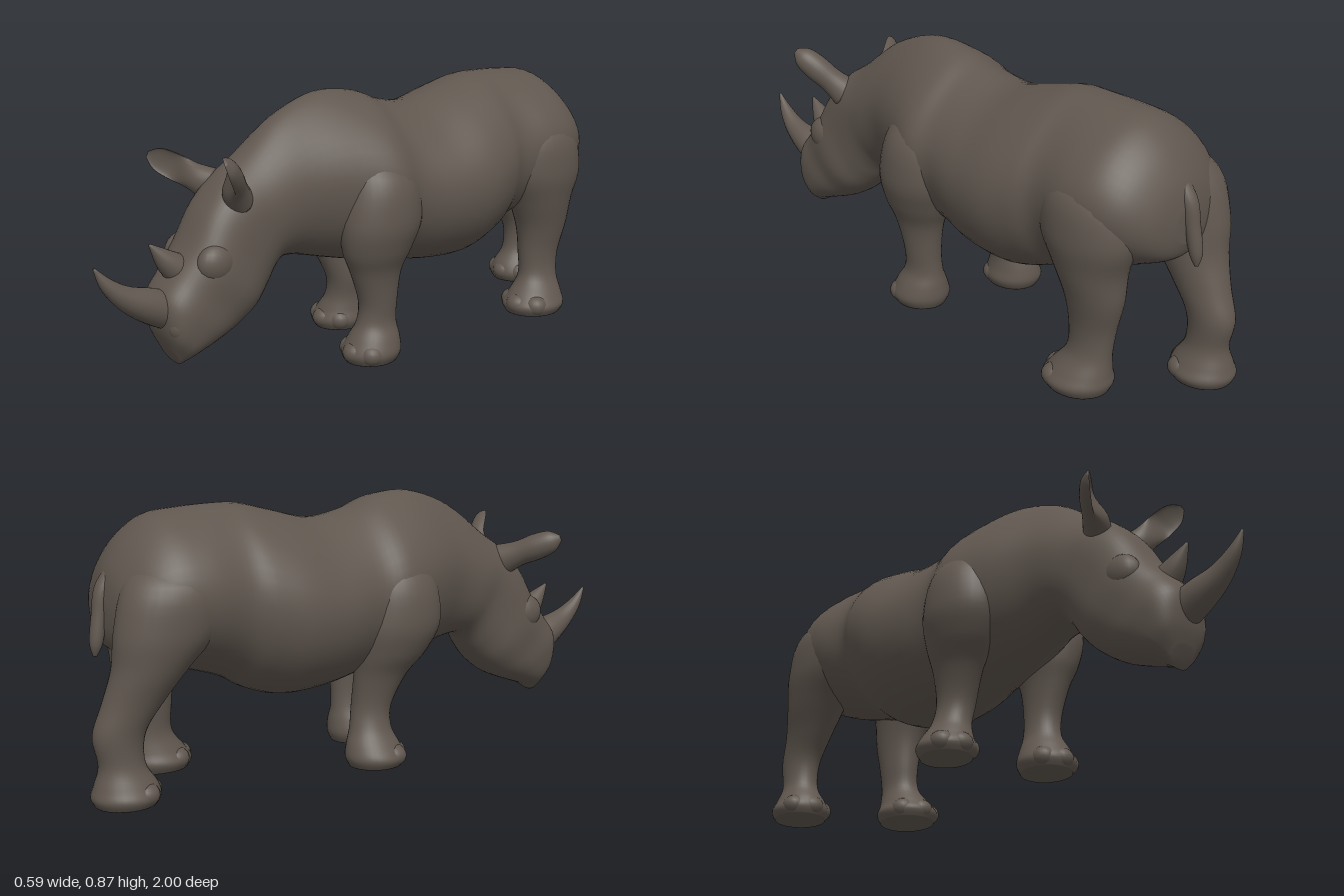
import * as THREE from 'three';

const hide = new THREE.MeshStandardMaterial({ color: 0x60574f });
hide.name = 'hide';

// Smooth skin through rings [centre xyz, side radius xyz, up radius xyz], Catmull-Rom between rings.
function loft(name, rings, shape = (c, s) => [c, s], seg = 32, sub = 5) {
  const mid = rings.length >> 1;
  const vec = (r, k) => new THREE.Vector3(r[k], r[k + 1], r[k + 2]);
  const along = vec(rings[mid], 0).sub(vec(rings[mid - 1], 0));
  const flip = vec(rings[mid], 3).cross(vec(rings[mid], 6)).dot(along) < 0 ? -1 : 1;
  const at = (i) => rings[Math.min(rings.length - 1, Math.max(0, i))];
  const fine = [];
  for (let i = 0; i < rings.length - 1; i++) {
    for (let k = 0; k < sub; k++) {
      const t = k / sub;
      fine.push(rings[i].map((b, n) => {
        const a = at(i - 1)[n], c = at(i + 1)[n], d = at(i + 2)[n];
        return 0.5 * (2 * b + (c - a) * t + (2 * a - 5 * b + 4 * c - d) * t * t + (3 * b - a - 3 * c + d) * t ** 3);
      }));
    }
  }
  fine.push(rings[rings.length - 1]);
  const pos = [], index = [];
  fine.forEach((r, i) => {
    for (let j = 0; j < seg; j++) {
      const a = (j / seg) * Math.PI * 2;
      const [c, s] = shape(Math.cos(a), Math.sin(a), i / (fine.length - 1));
      for (let n = 0; n < 3; n++) pos.push(r[n] + r[3 + n] * c * flip + r[6 + n] * s);
      if (i < fine.length - 1) {
        const p = i * seg + j, q = i * seg + ((j + 1) % seg);
        index.push(p, q, p + seg, q, q + seg, p + seg);
      }
    }
  });
  // Close both ends
  const last = (fine.length - 1) * seg, hub = pos.length / 3;
  pos.push(...fine[0].slice(0, 3), ...fine[fine.length - 1].slice(0, 3));
  for (let j = 0; j < seg; j++) {
    const k = (j + 1) % seg;
    index.push(hub, k, j, hub + 1, last + j, last + k);
  }
  const geo = new THREE.BufferGeometry();
  geo.setAttribute('position', new THREE.Float32BufferAttribute(pos, 3));
  geo.setIndex(index);
  geo.computeVertexNormals();
  const mesh = new THREE.Mesh(geo, hide);
  mesh.name = name;
  return mesh;
}

// Ring from its top and bottom points: [topZ, topY, bottomZ, bottomY, halfWidth, centreX]
const trunkRing = ([tz, ty, bz, by, w, x]) =>
  [x, (ty + by) / 2, (tz + bz) / 2, w, 0, 0, 0, (ty - by) / 2, (tz - bz) / 2];

// Level ring: [y, x, z, radiusX, radiusZ]
const legRing = ([y, x, z, rx, rz]) => [x, y, z, rx, 0, 0, 0, 0, rz];

// Tapered round sweep in a plane of near-constant x: points [x, y, z, radius]
function taper(name, pts) {
  return loft(name, pts.map(([x, y, z, r], i) => {
    const a = pts[Math.max(0, i - 1)], b = pts[Math.min(pts.length - 1, i + 1)];
    const dy = b[1] - a[1], dz = b[2] - a[2], l = Math.hypot(dy, dz);
    return [x, y, z, r, 0, 0, 0, (r * dz) / l, (-r * dy) / l];
  }), undefined, 20);
}

function blob(name, x, y, z, sx, sy, sz) {
  const m = new THREE.Mesh(new THREE.SphereGeometry(1, 20, 14), hide);
  m.name = name;
  m.position.set(x, y, z);
  m.scale.set(sx, sy, sz);
  return m;
}

// Cupped ear from base to tip, hollow side facing forward
function ear(name, base, tip) {
  const a = new THREE.Vector3(...base), b = new THREE.Vector3(...tip);
  const t = b.clone().sub(a).normalize();
  const front = new THREE.Vector3(0, 0.25, 1).addScaledVector(t, -t.dot(new THREE.Vector3(0, 0.25, 1))).normalize();
  const side = new THREE.Vector3().crossVectors(t, front);
  const rings = [[0, 0.055, 0.045], [0.3, 0.043, 0.04], [0.6, 0.044, 0.04], [0.85, 0.036, 0.03], [1, 0.01, 0.008]];
  return loft(name, rings.map(([k, w, d]) => [
    ...a.clone().lerp(b, k).toArray(), ...side.clone().multiplyScalar(w).toArray(), ...front.clone().multiplyScalar(d).toArray(),
  ]), (c, s, k) => [c, s > 0 ? s * (1 - 1.3 * THREE.MathUtils.smoothstep(k, 0.15, 0.55)) : s], 24);
}

export function createModel() {
  const model = new THREE.Group();
  model.name = 'rhinoceros';

  // Head, neck and trunk in one skin, muzzle to rump
  const trunk = [
    [0.772, 0.175, 0.735, 0.115, 0.04, 0.035], [0.795, 0.24, 0.69, 0.143, 0.092, 0.032],
    [0.80, 0.33, 0.60, 0.175, 0.114, 0.027], [0.75, 0.40, 0.53, 0.205, 0.12, 0.022],
    [0.69, 0.475, 0.47, 0.25, 0.132, 0.02], [0.63, 0.575, 0.425, 0.30, 0.128, 0.015],
    [0.555, 0.655, 0.39, 0.35, 0.13, 0.012], [0.47, 0.712, 0.35, 0.372, 0.142, 0.005],
    [0.33, 0.815, 0.27, 0.36, 0.162, 0], [0.17, 0.87, 0.16, 0.33, 0.215, -0.005],
    [0.03, 0.86, 0.03, 0.30, 0.262, 0], [-0.07, 0.823, -0.07, 0.285, 0.252, 0],
    [-0.20, 0.803, -0.20, 0.26, 0.28, 0], [-0.34, 0.835, -0.34, 0.253, 0.296, 0],
    [-0.45, 0.862, -0.45, 0.285, 0.277, 0], [-0.53, 0.866, -0.53, 0.33, 0.25, 0],
    [-0.65, 0.86, -0.65, 0.37, 0.265, 0], [-0.75, 0.845, -0.75, 0.40, 0.255, 0],
    [-0.83, 0.785, -0.83, 0.43, 0.215, 0], [-0.885, 0.70, -0.885, 0.46, 0.14, 0],
    [-0.905, 0.62, -0.905, 0.51, 0.05, 0],
  ];
  // Boxy head; the back narrows to a ridge, most of all at the shoulder hump
  model.add(loft('body', trunk.map(trunkRing), (c, s, k) => {
    const back = THREE.MathUtils.smoothstep(k, 0.25, 0.42);
    const ridge = back * (0.2 + 0.2 * Math.exp(-(((k - 0.45) / 0.08) ** 2)));
    const round = (v) => Math.sign(v) * Math.abs(v) ** (0.78 + 0.22 * back);
    return [round(c) * (1 - ridge * Math.max(0, s) ** 2), round(s)];
  }, 48));

  // Horns
  model.add(taper('frontHorn', [[0.035, 0.27, 0.72, 0.06], [0.04, 0.318, 0.825, 0.053],
    [0.045, 0.36, 0.905, 0.036], [0.043, 0.41, 0.96, 0.021], [0.04, 0.463, 0.995, 0.004]]));
  model.add(taper('rearHorn', [[0.03, 0.37, 0.67, 0.06], [0.03, 0.435, 0.75, 0.036], [0.027, 0.495, 0.805, 0.004]]));

  // Ears, brows and nostril swellings
  model.add(ear('leftEar', [0.085, 0.60, 0.53], [0.2, 0.748, 0.655]));
  model.add(ear('rightEar', [-0.06, 0.615, 0.53], [-0.222, 0.7, 0.655]));
  for (const s of [-1, 1]) {
    model.add(blob('brow', 0.02 + s * 0.09, 0.425, 0.63, 0.043, 0.06, 0.065));
    model.add(blob('nostril', 0.038 + s * 0.055, 0.25, 0.75, 0.035, 0.045, 0.04));
  }

  // Legs in mid stride, each from the shoulder or hip down to the sole
  const legs = {
    leftFrontLeg: [[0.74, 0.08, 0.05, 0.05, 0.06], [0.62, 0.155, 0.045, 0.105, 0.12], [0.48, 0.175, 0.05, 0.11, 0.145],
      [0.38, 0.17, 0.06, 0.092, 0.125], [0.30, 0.163, 0.06, 0.067, 0.092], [0.20, 0.16, 0.05, 0.056, 0.068],
      [0.13, 0.155, 0.052, 0.058, 0.07], [0.08, 0.155, 0.062, 0.08, 0.088], [0.035, 0.153, 0.072, 0.095, 0.1],
      [0.003, 0.153, 0.072, 0.08, 0.087]],
    rightFrontLeg: [[0.74, -0.08, 0.04, 0.05, 0.06], [0.62, -0.155, 0.035, 0.105, 0.12], [0.48, -0.175, 0.03, 0.11, 0.145],
      [0.38, -0.165, 0.01, 0.092, 0.125], [0.30, -0.145, -0.02, 0.07, 0.092], [0.20, -0.13, -0.045, 0.06, 0.068],
      [0.13, -0.14, -0.055, 0.062, 0.07], [0.08, -0.155, -0.055, 0.08, 0.088], [0.04, -0.163, -0.05, 0.095, 0.1],
      [0.01, -0.163, -0.05, 0.08, 0.087]],
    leftHindLeg: [[0.76, 0.08, -0.66, 0.06, 0.08], [0.66, 0.14, -0.67, 0.12, 0.15], [0.53, 0.165, -0.68, 0.115, 0.165],
      [0.42, 0.165, -0.69, 0.095, 0.125], [0.32, 0.16, -0.705, 0.075, 0.1], [0.22, 0.155, -0.70, 0.06, 0.08],
      [0.14, 0.16, -0.695, 0.06, 0.076], [0.08, 0.17, -0.675, 0.086, 0.1], [0.045, 0.172, -0.665, 0.104, 0.113],
      [0.015, 0.172, -0.665, 0.09, 0.1]],
    rightHindLeg: [[0.76, -0.08, -0.70, 0.06, 0.08], [0.66, -0.135, -0.72, 0.12, 0.16], [0.53, -0.15, -0.755, 0.115, 0.165],
      [0.42, -0.145, -0.81, 0.095, 0.12], [0.32, -0.135, -0.865, 0.072, 0.095], [0.23, -0.13, -0.91, 0.06, 0.08],
      [0.14, -0.13, -0.905, 0.058, 0.07], [0.08, -0.13, -0.895, 0.082, 0.095], [0.045, -0.13, -0.895, 0.098, 0.104],
      [0.018, -0.13, -0.895, 0.085, 0.092]],
  };
  for (const [name, rings] of Object.entries(legs)) {
    const leg = new THREE.Group();
    leg.name = name;
    leg.add(loft('limb', rings.map(legRing)));
    // Three blunt toes round the front of the foot
    const [y, x, z, rx, rz] = rings[rings.length - 1];
    for (const a of [-0.95, 0, 0.95]) {
      leg.add(blob('toe', x + Math.sin(a) * rx * 0.75, y + 0.034, z + Math.cos(a) * rz * 0.75, 0.042, 0.036, 0.042));
    }
    model.add(leg);
  }

  // Tail lying against the rump
  model.add(taper('tail', [[0, 0.73, -0.81, 0.03], [-0.005, 0.64, -0.89, 0.028], [-0.01, 0.56, -0.91, 0.024],
    [-0.015, 0.48, -0.925, 0.02], [-0.015, 0.44, -0.93, 0.006]]));
  return model;
}
